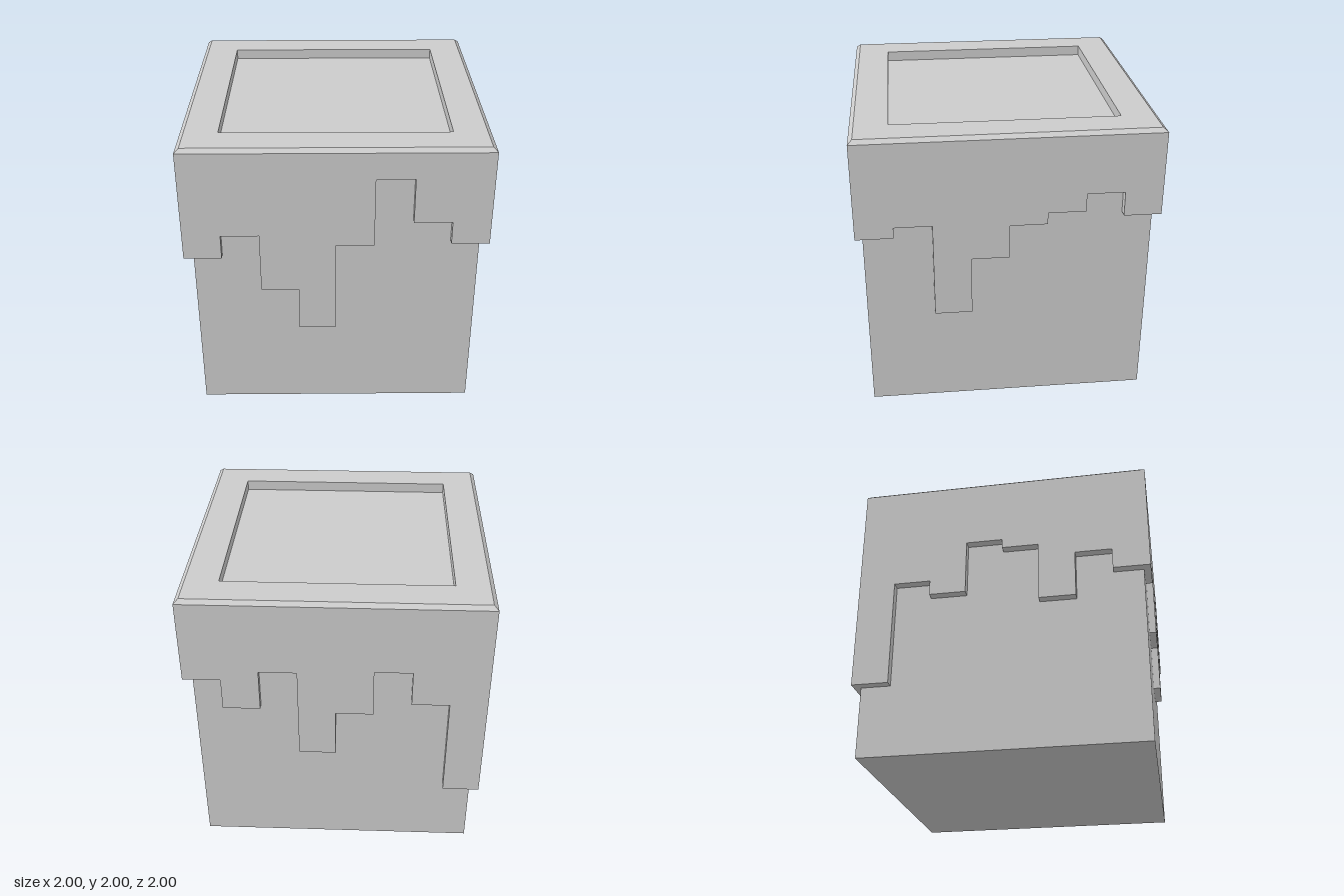
import * as THREE from 'three';

const RIM_Y = 1.975; // where the top bevel starts
const BODY_X = 0.94; // half width of the inner block
const BODY_Z = 0.953; // half depth of the inner block
const STEP = 0.25; // width of one drip

const material = new THREE.MeshStandardMaterial({ color: 0xcccccc, flatShading: true });

function addMesh(parent, name, geometry) {
  const mesh = new THREE.Mesh(geometry, material);
  mesh.name = name;
  parent.add(mesh);
  return mesh;
}

// One overlay wall with a stepped lower edge; drips run left to right as seen from outside
function dripWall(bottoms, halfWidth, inner) {
  const clamp = (u) => THREE.MathUtils.clamp(u, -halfWidth, halfWidth);
  const shape = new THREE.Shape();
  shape.moveTo(-halfWidth, RIM_Y);
  bottoms.forEach((y, i) => {
    shape.lineTo(clamp(-1 + i * STEP), y);
    shape.lineTo(clamp(-1 + (i + 1) * STEP), y);
  });
  shape.lineTo(halfWidth, RIM_Y);
  shape.closePath();
  const geometry = new THREE.ExtrudeGeometry(shape, { depth: 1 - inner, bevelEnabled: false });
  return geometry.translate(0, 0, inner);
}

export function createModel() {
  const group = new THREE.Group();
  group.name = 'drippingBlock';

  // Inner block
  const body = new THREE.BoxGeometry(BODY_X * 2, 1.9, BODY_Z * 2);
  addMesh(group, 'body', body.translate(0, 0.95, 0));

  // Square cap: bevelled edge, flat rim and sunken floor
  const profile = [[1, RIM_Y], [0.97, 2], [0.75, 2], [0.75, 1.93], [0, 1.93]]
    .map(([r, y]) => new THREE.Vector2(r * Math.SQRT2, y));
  const cap = new THREE.LatheGeometry(profile, 4, Math.PI / 4).toNonIndexed();
  cap.computeVertexNormals();
  addMesh(group, 'cap', cap);

  // Drips on the four sides; the side walls fit between the front and back ones
  const walls = [
    ['frontDrips', 0, 1, BODY_Z, [1.21, 1.38, 0.96, 0.645, 1.305, 1.79, 1.475, 1.315]],
    ['leftDrips', Math.PI / 2, BODY_Z, BODY_X, [1.315, 1.39, 0.72, 1.13, 1.365, 1.445, 1.57, 1.4]],
    ['backDrips', Math.PI, 1, BODY_Z, [1.4, 1.17, 1.47, 0.8, 1.145, 1.49, 1.235, 0.49]],
    ['rightDrips', -Math.PI / 2, BODY_Z, BODY_X, [0.49, 1.23, 1.125, 1.51, 1.445, 1.03, 1.355, 1.21]],
  ];
  for (const [name, angle, halfWidth, inner, bottoms] of walls) {
    addMesh(group, name, dripWall(bottoms, halfWidth, inner)).rotation.y = angle;
  }

  return group;
}
